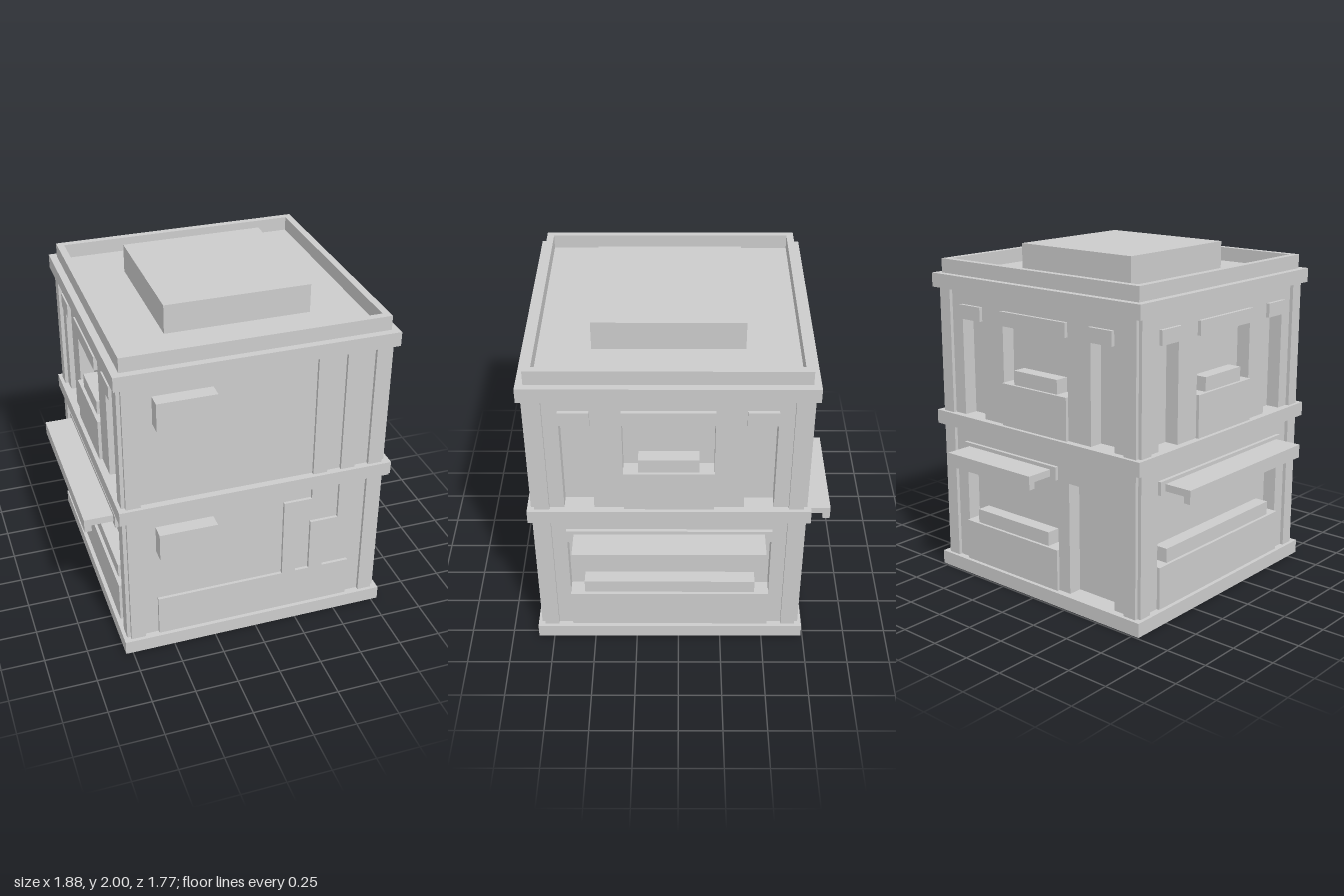
import * as THREE from 'three';

const U = 1 / 12; // building module
const CORE = 8 * U, WALL = 9 * U, POST = 9.25 * U, RAISED = 9.22 * U, SLAB = 9.5 * U; // distances from the axis

export function createModel() {
  const model = new THREE.Group();
  model.name = 'building';
  const body = new THREE.Group();
  body.name = 'body';
  body.position.z = 0.052;
  model.add(body);
  const mat = new THREE.MeshStandardMaterial({ color: 0xcccccc, flatShading: true });

  const add = (parent, name, geo) => {
    const mesh = new THREE.Mesh(geo, mat);
    mesh.name = name;
    parent.add(mesh);
    return mesh;
  };
  // box given by its limits
  const box = (parent, name, x0, x1, y0, y1, z0, z1) =>
    add(parent, name, new THREE.BoxGeometry(x1 - x0, y1 - y0, z1 - z0))
      .position.set((x0 + x1) / 2, (y0 + y1) / 2, (z0 + z1) / 2);
  const poly = (pts, Type = THREE.Shape) => new Type(pts.map(([x, y]) => new THREE.Vector2(x, y)));
  const rect = (x0, x1, y0, y1, Type) => poly([[x0, y0], [x1, y0], [x1, y1], [x0, y1]], Type);
  const extrude = (parent, name, shape, z0, z1) => {
    const geo = new THREE.ExtrudeGeometry(shape, { depth: z1 - z0, bevelEnabled: false });
    geo.translate(0, 0, z0);
    return add(parent, name, geo);
  };
  // square horizontal ring, open in the middle
  const ring = (name, outer, inner, y0, y1) => {
    const shape = rect(-outer, outer, -outer, outer);
    shape.holes.push(rect(-inner, inner, -inner, inner, THREE.Path));
    extrude(body, name, shape, y0, y1).rotation.x = -Math.PI / 2;
  };

  // one storey of wall with openings down to the slab, and its two corner posts
  const storeyWall = (face, y0, y1, openings) => {
    const shape = rect(-WALL, WALL, y0 - 0.004, y1);
    for (const [a, b, top] of openings) shape.holes.push(rect(a, b, y0 - 0.002, top, THREE.Path));
    extrude(face, 'wall', shape, CORE, WALL);
    for (const s of [-1, 1]) {
      const c = s * (CORE + WALL) / 2, h = (WALL - CORE) / 2;
      box(face, 'cornerPost', c - h, c + h, y0, y1, CORE, POST);
    }
  };
  const lintel = (face, x0, x1, y0, y1) => box(face, 'lintel', x0, x1, y0, y1, CORE, POST);
  // panel under a window with a planter standing on it
  const sill = (face, x0, x1, y0, y1) => {
    box(face, 'sillPanel', x0, x1, y0, y1, CORE, RAISED);
    box(face, 'planter', x0 + U, x1 - U, y1, y1 + U, CORE, WALL);
  };
  const awning = (face, x0, x1) => {
    box(face, 'awningTop', x0, x1, 0.771, 0.8125, WALL, 0.9375);
    box(face, 'awningLip', x0, x1, 0.732, 0.771, 0.896, 0.9375);
  };

  // upper storey with three windows
  const upperWindows = (face) => {
    const spans = [[-7 * U, -5 * U], [-3 * U, 3 * U], [5 * U, 7 * U]];
    storeyWall(face, 1, 21 * U, spans.map(([a, b]) => [a, b, 20 * U]));
    for (const [a, b] of spans) lintel(face, a, b, 19 * U, 20 * U);
    sill(face, -3 * U, 3 * U, 1, 1.25);
  };
  // wide shop window of the lower storey
  const shopWindow = (face, x0, x1) => {
    lintel(face, x0, x1, 0.755, 10 * U);
    sill(face, x0, x1, U, 4 * U);
    awning(face, x0 + U / 2, x1 - U / 2);
  };
  const makeFace = (name, angle) => {
    const face = new THREE.Group();
    face.name = name;
    face.rotation.y = angle;
    body.add(face);
    return face;
  };

  // base skirt, hollow underneath, with the ground floor on top
  ring('baseSkirt', SLAB, SLAB - 0.004, 0, U);
  box(body, 'groundFloor', -SLAB + 0.002, SLAB - 0.002, U - 0.006, U, -SLAB + 0.002, SLAB - 0.002);

  // core, slabs and roof
  box(body, 'core', -CORE, CORE, U - 0.003, 1.8, -CORE, CORE);
  for (const y of [11 * U, 21 * U]) box(body, 'floorSlab', -SLAB, SLAB, y, y + U, -SLAB, SLAB);
  ring('parapet', WALL, 8.5 * U, 22 * U, 23 * U);
  box(body, 'roofBlock', -5 * U, 5 * U, 22 * U, 2, -5 * U, 5 * U);

  // two matching sides
  for (const s of [-1, 1]) {
    const side = makeFace(s > 0 ? 'leftSide' : 'rightSide', s * Math.PI / 2);
    upperWindows(side);
    storeyWall(side, U, 11 * U, [[-7 * U, 7 * U, 10 * U]]);
    shopWindow(side, -7 * U, 7 * U);
  }

  // back with a shop window and a doorway (local x is mirrored here)
  const back = makeFace('back', Math.PI);
  upperWindows(back);
  storeyWall(back, U, 11 * U, [[-7 * U, 2 * U, 10 * U], [3 * U, 7 * U, 9 * U]]);
  shopWindow(back, -7 * U, 2 * U);

  // front with raised ducts and two wall boxes
  const front = makeFace('front', 0);
  storeyWall(front, 1, 21 * U, []);
  storeyWall(front, U, 11 * U, []);
  for (const x of [4 * U, 6 * U]) box(front, 'upperDuct', x, x + U, 1, 21 * U, WALL, RAISED);
  extrude(front, 'lowerDucts', poly([
    [-7, 1], [7, 1], [7, 4], [5, 4], [5, 7], [7, 7], [7, 11], [6, 11], [6, 8], [4, 8],
    [4, 4], [3, 4], [3, 9], [5, 9], [5, 11], [4, 11], [4, 10], [2, 10], [2, 4], [-7, 4],
  ].map(([x, y]) => [x * U, y * U])), WALL, RAISED);
  for (const y of [8 * U, 18 * U]) box(front, 'wallBox', -7 * U, -3 * U, y, y + 2 * U, WALL, 10 * U);

  return model;
}
